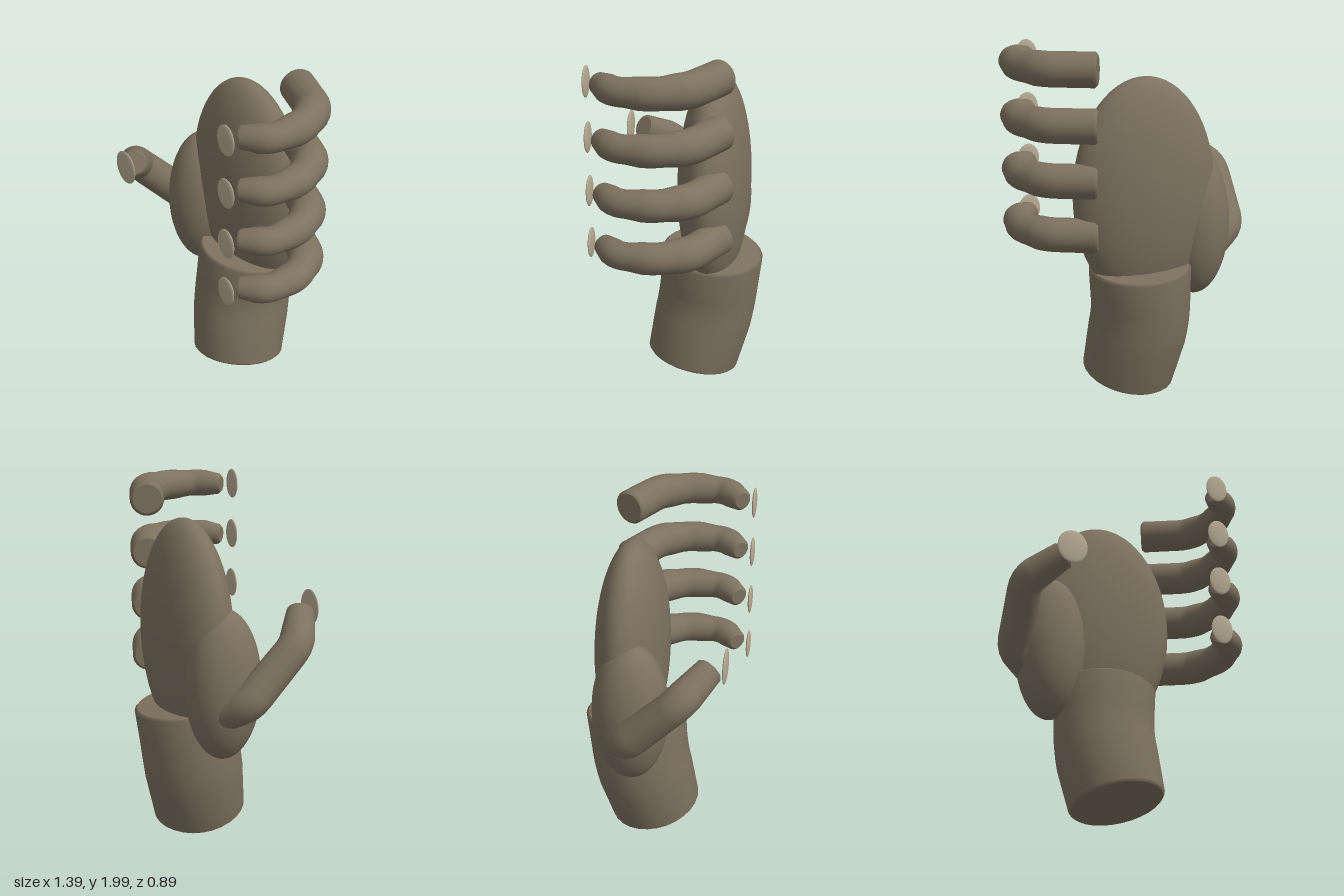
import * as THREE from 'three';

const skin = new THREE.MeshStandardMaterial({ color: 0x7d715f });
const padSkin = new THREE.MeshStandardMaterial({ color: 0xb5a992 });
const SIDES = 28;

// Round limb along straight legs with rounded corners; each point is [x, y, z, radius]
function limb(name, points, bevel = 0.015, cut = 0.06) {
  const p = points.map(([x, y, z]) => new THREE.Vector3(x, y, z));
  const r = points.map((q) => q[3]);
  const last = p.length - 1;
  const dirs = p.slice(1).map((q, i) => q.clone().sub(p[i]).normalize());
  const rings = [];
  const add = (pos, dir, radius) => rings.push({ pos, dir, radius });

  // start cap, doubled ring keeps the cap edge crisp
  add(p[0], dirs[0], 0);
  add(p[0], dirs[0], r[0] - bevel);
  add(p[0], dirs[0], r[0] - bevel);
  add(p[0].clone().addScaledVector(dirs[0], bevel), dirs[0], r[0]);
  // rounded corners
  for (let i = 1; i < last; i++) {
    const bend = new THREE.QuadraticBezierCurve3(
      p[i].clone().addScaledVector(dirs[i - 1], -cut), p[i],
      p[i].clone().addScaledVector(dirs[i], cut));
    for (let k = 0; k <= 4; k++) add(bend.getPoint(k / 4), bend.getTangent(k / 4), r[i]);
  }
  // end cap
  const end = dirs[last - 1];
  add(p[last].clone().addScaledVector(end, -bevel), end, r[last]);
  add(p[last], end, r[last] - bevel);
  add(p[last], end, r[last] - bevel);
  add(p[last], end, 0);

  const positions = [], index = [];
  const normal = new THREE.Vector3(0, 1, 0);
  if (Math.abs(dirs[0].y) > 0.8) normal.set(1, 0, 0);
  rings.forEach(({ pos, dir, radius }, i) => {
    normal.addScaledVector(dir, -normal.dot(dir)).normalize();
    const side = dir.clone().cross(normal);
    for (let j = 0; j < SIDES; j++) {
      const a = (j / SIDES) * Math.PI * 2;
      const v = pos.clone()
        .addScaledVector(normal, Math.cos(a) * radius)
        .addScaledVector(side, Math.sin(a) * radius);
      positions.push(v.x, v.y, v.z);
      if (i === rings.length - 1) continue;
      const a0 = i * SIDES + j, b0 = i * SIDES + (j + 1) % SIDES;
      index.push(a0, b0, a0 + SIDES, b0, b0 + SIDES, a0 + SIDES);
    }
  });
  const geo = new THREE.BufferGeometry();
  geo.setAttribute('position', new THREE.Float32BufferAttribute(positions, 3));
  geo.setIndex(index);
  geo.computeVertexNormals();
  const mesh = new THREE.Mesh(geo, skin);
  mesh.name = name;
  return mesh;
}

function ellipsoid(name, center, radii, material = skin) {
  const geo = new THREE.SphereGeometry(1, 48, 32);
  geo.scale(...radii);
  const mesh = new THREE.Mesh(geo, material);
  mesh.position.set(...center);
  mesh.name = name;
  return mesh;
}

export function createModel() {
  const hand = new THREE.Group();
  hand.name = 'hand';

  // Palm, wrist and the mound at the root of the thumb
  hand.add(ellipsoid('palm', [-0.04, 1.19, -0.155], [0.415, 0.65, 0.2]));
  hand.add(ellipsoid('thumbMound', [-0.365, 0.97, -0.1], [0.2, 0.43, 0.215]));
  hand.add(limb('wrist', [
    [0.02, 0.07, -0.04, 0.27],
    [-0.035, 0.45, -0.12, 0.287],
    [-0.015, 0.77, -0.152, 0.292],
  ], 0.015, 0.12));

  // Thumb
  hand.add(limb('thumb', [
    [-0.4, 0.82, -0.16, 0.11],
    [-0.585, 0.92, -0.07, 0.1],
    [-0.605, 1.215, 0.215, 0.095],
    [-0.425, 1.34, 0.355, 0.078],
  ]));
  hand.add(ellipsoid('thumbPad', [-0.405, 1.35, 0.428], [0.086, 0.1, 0.012], padSkin));

  // Four curled fingers, evenly stacked
  for (let i = 0; i < 4; i++) {
    const y = 0.985 + i * 0.306;
    const finger = new THREE.Group();
    finger.name = 'finger' + (i + 1);
    finger.add(limb('fingerCurl', [
      [0.255, y, -0.24, 0.097],
      [0.515, y, -0.12, 0.096],
      [0.61, y, 0.05, 0.087],
      [0.605, y, 0.255, 0.077],
      [0.48, y, 0.365, 0.06],
    ]));
    finger.add(ellipsoid('fingerPad', [0.47, y, 0.434], [0.064, 0.086, 0.012], padSkin));
    hand.add(finger);
  }
  return hand;
}
